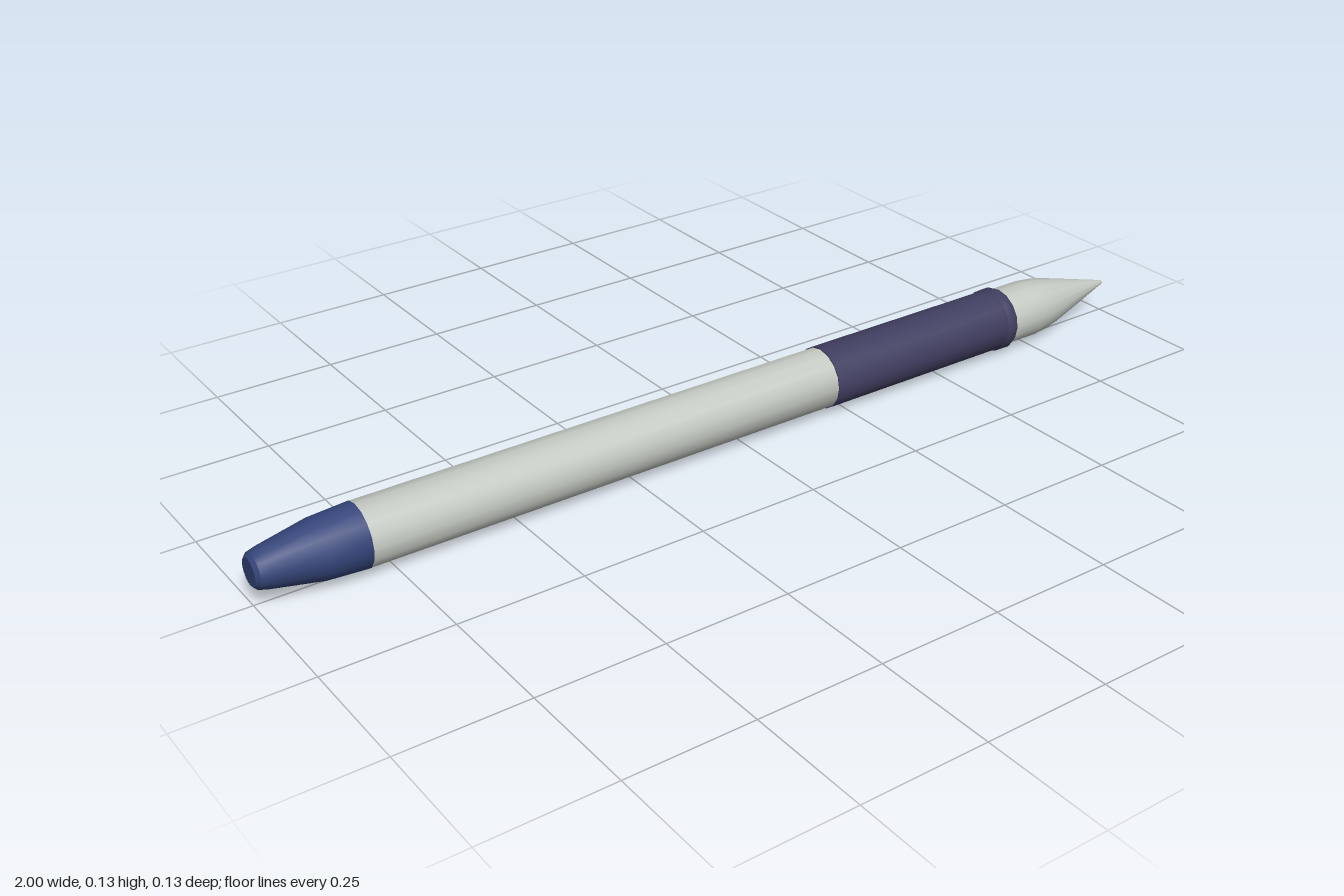
import * as THREE from 'three';
import { toCreasedNormals } from 'three/addons/utils/BufferGeometryUtils.js';

const AXIS_Y = 0.067; // height of the pen's long axis
const SIDES = 16;

function material(name, color) {
  const m = new THREE.MeshStandardMaterial({ color });
  m.name = name;
  return m;
}

// Turned part from [position along x, radius] pairs, running from tail to tip
function turned(name, profile, mat) {
  const points = profile.map(([x, r]) => new THREE.Vector2(r, x));
  const geometry = toCreasedNormals(new THREE.LatheGeometry(points, SIDES), 0.5);
  geometry.rotateZ(-Math.PI / 2);
  const mesh = new THREE.Mesh(geometry, mat);
  mesh.name = name;
  mesh.position.y = AXIS_Y;
  return mesh;
}

export function createModel() {
  const silver = material('pale grey', 0xc3c8c1);
  const navy = material('dark violet', 0x403e60);
  const blue = material('blue', 0x35457a);

  const pen = new THREE.Group();
  pen.name = 'pen';
  pen.add(
    // Tapered tail cap with a rounded end
    turned('endCap', [
      [-1, 0], [-1, 0.027], [-0.993, 0.034], [-0.975, 0.039],
      [-0.875, 0.058], [-0.8, 0.0625], [-0.8, 0],
    ], blue),
    // Long straight barrel
    turned('barrel', [[-0.8, 0], [-0.8, 0.062], [0.21, 0.062], [0.21, 0]], silver),
    // Grip sleeve
    turned('grip', [[0.21, 0], [0.21, 0.064], [0.665, 0.064], [0.665, 0]], navy),
    // Raised rim at the front of the grip
    turned('gripRim', [
      [0.655, 0.06], [0.66, 0.066], [0.667, 0.067], [0.68, 0.067], [0.687, 0.064], [0.687, 0],
    ], navy),
    // Collar easing into the writing cone
    turned('nose', [
      [0.68, 0.061], [0.76, 0.061], [0.795, 0.057], [0.83, 0.05],
      [0.975, 0.01], [0.985, 0.007], [0.997, 0.004], [1, 0],
    ], silver),
  );
  return pen;
}
